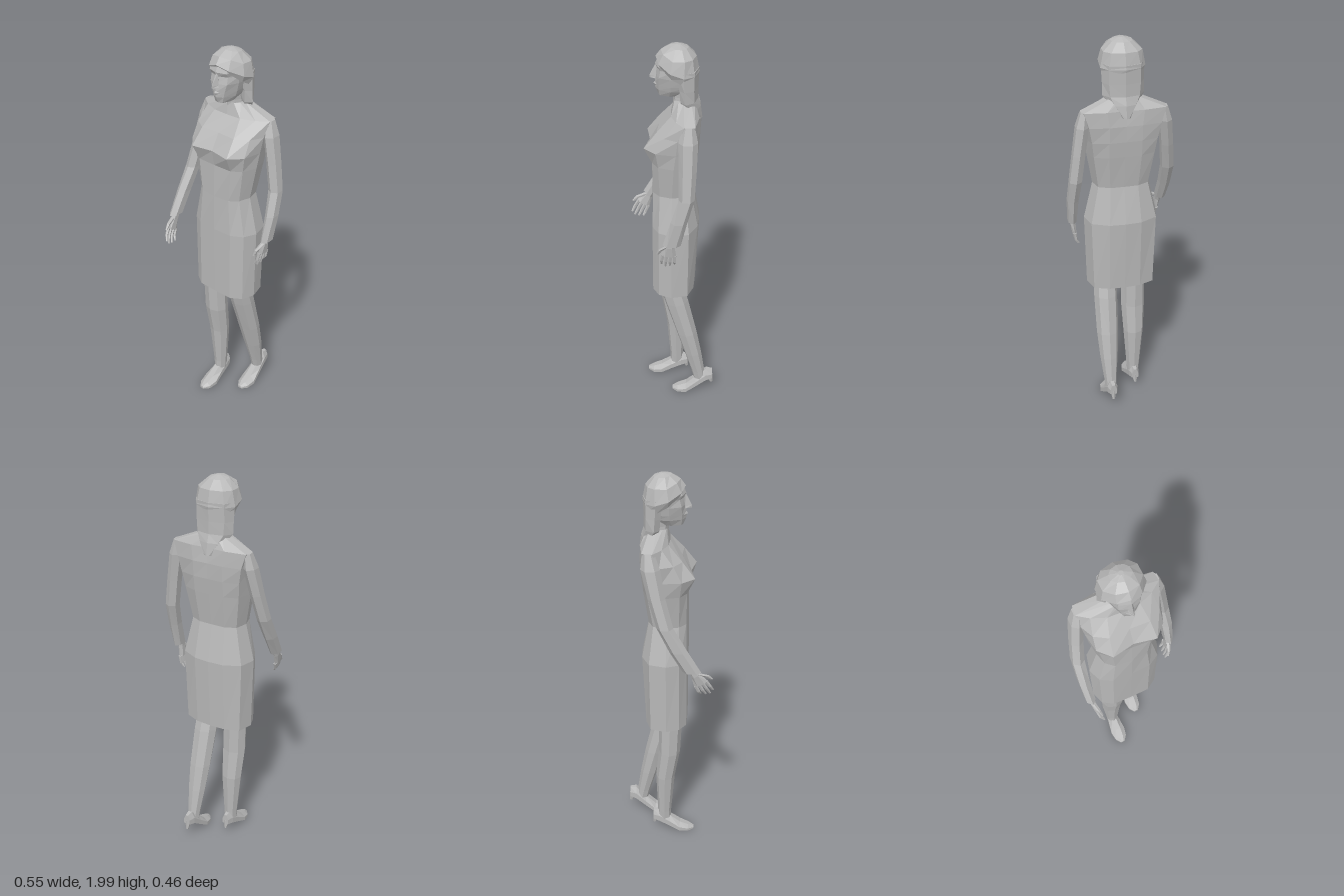
import * as THREE from 'three';

const grey = new THREE.MeshStandardMaterial({ color: 0xb8b8b8, flatShading: true });
grey.name = 'grey';

// Closed skin over a list of rings (each an array of [x, y, z]), faces turned outward
function loft(name, rings) {
  const n = rings[0].length, tris = [];
  const centre = r => [0, 1, 2].map(k => r.reduce((s, p) => s + p[k], 0) / n);
  const first = rings[0], last = rings[rings.length - 1], c0 = centre(first), c1 = centre(last);
  for (let j = 0; j < n; j++) {
    const k = (j + 1) % n;
    for (let i = 0; i < rings.length - 1; i++) {
      const a = rings[i], b = rings[i + 1];
      tris.push([a[j], a[k], b[k]], [a[j], b[k], b[j]]);
    }
    tris.push([c0, first[k], first[j]], [c1, last[j], last[k]]);
  }
  let volume = 0;
  for (const [a, b, c] of tris) {
    volume += a[0] * (b[1] * c[2] - b[2] * c[1]) + a[1] * (b[2] * c[0] - b[0] * c[2])
      + a[2] * (b[0] * c[1] - b[1] * c[0]);
  }
  if (volume < 0) tris.forEach(t => t.reverse());
  const geo = new THREE.BufferGeometry();
  geo.setAttribute('position', new THREE.Float32BufferAttribute(tris.flat(2), 3));
  geo.computeVertexNormals();
  const mesh = new THREE.Mesh(geo, grey);
  mesh.name = name;
  return mesh;
}

// Symmetric ring from a half outline, front centre to back centre
const mirror = half => [...half, ...half.slice(1, -1).reverse().map(([x, y, z]) => [-x, y, z])];
const level = (y, half) => mirror(half.map(([x, z]) => [x, y, z]));

// Level oval ring
function oval(x, y, z, rx, rz, n = 6) {
  return Array.from({ length: n }, (_, i) => {
    const a = (i / n) * Math.PI * 2;
    return [x + Math.sin(a) * rx, y, z + Math.cos(a) * rz];
  });
}

function torso() {
  return loft('dress', [
    level(0.70, [[0, .102], [.10, .1], [.155, .065], [.178, 0], [.155, -.08], [.08, -.108], [0, -.112]]),
    level(1.08, [[0, .105], [.10, .1], [.16, .065], [.187, 0], [.165, -.085], [.08, -.125], [0, -.13]]),
    level(1.27, [[0, .105], [.085, .095], [.125, .06], [.142, 0], [.125, -.065], [.07, -.09], [0, -.092]]),
    level(1.44, [[0, .1], [.10, .098], [.15, .065], [.172, -.01], [.15, -.09], [.08, -.115], [0, -.115]]),
    level(1.52, [[0, .115], [.11, .136], [.168, .075], [.183, -.02], [.16, -.105], [.08, -.125], [0, -.125]]),
    level(1.60, [[0, .07], [.10, .075], [.165, .035], [.195, -.03], [.175, -.115], [.08, -.13], [0, -.128]]),
    level(1.675, [[0, .012], [.08, .008], [.15, -.02], [.205, -.06], [.198, -.11], [.09, -.125], [0, -.12]]),
    level(1.735, [[0, 0], [.03, -.005], [.055, -.025], [.065, -.05], [.055, -.085], [.03, -.1], [0, -.1]]),
  ]);
}

function head() {
  const g = new THREE.Group();
  g.name = 'head';
  g.add(loft('neck', [
    oval(0, 1.66, -.05, .055, .05, 8), oval(0, 1.75, -.04, .045, .045, 8), oval(0, 1.84, -.02, .045, .05, 8),
  ]));
  g.add(loft('face', [
    level(1.755, [[0, .072], [.022, .065], [.036, .02], [.03, -.02], [0, -.03]]),
    level(1.785, [[0, .086], [.032, .068], [.056, .012], [.05, -.05], [0, -.06]]),
    level(1.81, [[0, .088], [.038, .068], [.064, .01], [.06, -.06], [0, -.08]]),
    level(1.85, [[0, .084], [.05, .066], [.073, .01], [.07, -.06], [0, -.09]]),
    level(1.885, [[0, .078], [.05, .058], [.077, .01], [.075, -.06], [0, -.09]]),
    level(1.905, [[0, .086], [.052, .07], [.08, .01], [.075, -.06], [0, -.09]]),
    level(1.945, [[0, .07], [.05, .055], [.075, .005], [.07, -.06], [0, -.085]]),
  ]));
  g.add(loft('nose', [
    level(1.835, [[0, .113], [.017, .084], [0, .07]]),
    level(1.845, [[0, .113], [.014, .082], [0, .07]]),
    level(1.9, [[0, .086], [.006, .078], [0, .07]]),
  ]));
  g.add(loft('lips', [
    level(1.798, [[0, .088], [.018, .078], [0, .06]]),
    level(1.806, [[0, .095], [.022, .076], [0, .06]]),
    level(1.815, [[0, .09], [.014, .078], [0, .06]]),
  ]));
  // Cap with a fringe that slopes down towards the ears
  g.add(loft('hairCap', [
    mirror([[0, 1.93, .075], [.055, 1.905, .06], [.09, 1.86, .005], [.092, 1.83, -.05], [.07, 1.83, -.095], [0, 1.83, -.11]]),
    mirror([[0, 1.94, .084], [.06, 1.92, .066], [.105, 1.89, .01], [.107, 1.87, -.055], [.075, 1.87, -.1], [0, 1.87, -.12]]),
    mirror([[0, 1.972, .06], [.055, 1.965, .045], [.092, 1.945, 0], [.092, 1.945, -.055], [.062, 1.945, -.09], [0, 1.945, -.105]]),
    mirror([[0, 1.995, .02], [.03, 1.992, .01], [.05, 1.988, -.01], [.048, 1.985, -.04], [.03, 1.985, -.06], [0, 1.985, -.068]]),
    mirror([[0, 2, -.01], [.008, 2, -.012], [.012, 2, -.02], [.012, 2, -.025], [.008, 2, -.03], [0, 2, -.032]]),
  ]));
  g.add(loft('hairBack', [
    level(1.89, [[0, -.03], [.085, -.02], [.104, -.05], [.075, -.1], [0, -.118]]),
    level(1.80, [[0, -.06], [.075, -.03], [.1, -.055], [.075, -.098], [0, -.115]]),
    level(1.74, [[0, -.07], [.07, -.035], [.1, -.06], [.07, -.1], [0, -.115]]),
    level(1.70, [[0, -.08], [.05, -.055], [.07, -.085], [.05, -.115], [0, -.128]]),
    level(1.64, [[0, -.11], [.01, -.115], [.02, -.125], [.012, -.132], [0, -.136]]),
  ]));
  return g;
}

// Hand hanging down from the wrist; s = 1 left, -1 right
function hand(s) {
  const g = new THREE.Group();
  g.name = s > 0 ? 'leftHand' : 'rightHand';
  g.add(loft('palm', [
    oval(0, .02, 0, .016, .02), oval(0, -.02, 0, .015, .024), oval(-s * .006, -.075, 0, .012, .038),
  ]));
  for (let i = 0; i < 4; i++) {
    const z = .029 - i * .0193, tip = [-.138, -.148, -.143, -.13][i];
    g.add(loft('finger', [
      oval(-s * .006, -.07, z, .01, .0095, 5),
      oval(-s * .012, -.11, z * 1.1, .008, .008, 5),
      oval(-s * .026, tip, z * 1.1, .005, .005, 5),
    ]));
  }
  g.add(loft('thumb', [
    oval(0, -.015, .012, .011, .012, 5), oval(-s * .012, -.05, .045, .009, .011, 5), oval(-s * .02, -.08, .056, .005, .006, 5),
  ]));
  return g;
}

// Path of [x, y, z, rx, rz]
const limb = (name, path, n) => loft(name, path.map(p => oval(...p, n)));

// Shoe: sections of [z, bottom, top, half width], plus a slim heel
function shoe(name, x, z, lift, heelTip) {
  const g = new THREE.Group();
  g.name = name;
  const sections = [
    [.15, .008, .022, .012], [.12, .006, .036, .034], [.075, .012, .056, .042],
    [.02, .038 + lift * .4, .095 + lift * .4, .034],
    [-.035, .062 + lift, .13 + lift, .028], [-.07, .07 + lift, .125 + lift, .018],
  ];
  g.add(loft('upper', sections.map(([dz, b, t, w]) => [
    [x - w, b, z + dz], [x - w, b + (t - b) * .5, z + dz], [x - w * .4, t, z + dz],
    [x + w * .4, t, z + dz], [x + w, b + (t - b) * .5, z + dz], [x + w, b, z + dz],
  ])));
  g.add(loft('heel', [
    oval(x, heelTip, z - .066, .007, .008), oval(x, .09 + lift, z - .05, .02, .023),
  ]));
  return g;
}

export function createModel() {
  const model = new THREE.Group();
  model.name = 'walkingWoman';
  model.add(torso(), head());

  // Sleeves: left hangs down, right swings forward
  model.add(limb('leftSleeve', [
    [.19, 1.675, -.08, .022, .028], [.202, 1.6, -.078, .035, .046], [.222, 1.46, -.078, .034, .042],
    [.24, 1.32, -.075, .034, .038], [.25, 1.2, -.04, .03, .04], [.25, 1.07, -.005, .023, .044],
  ]));
  model.add(limb('rightSleeve', [
    [-.19, 1.675, -.08, .022, .028], [-.202, 1.6, -.07, .035, .046], [-.222, 1.46, -.04, .034, .042],
    [-.24, 1.32, 0, .034, .04], [-.245, 1.2, .065, .03, .045], [-.243, 1.09, .13, .026, .045],
  ]));
  const left = hand(1), right = hand(-1);
  left.position.set(.245, 1.075, .002);
  left.rotation.x = -.1;
  right.position.set(-.238, 1.085, .14);
  right.rotation.x = -.5;
  model.add(left, right);

  // Legs: right leads, left trails
  model.add(limb('rightLeg', [
    [-.075, .76, .02, .062, .06], [-.073, .52, .012, .064, .056], [-.072, .36, -.01, .055, .05],
    [-.07, .13, -.015, .036, .036], [-.07, .08, -.015, .032, .036],
  ], 8));
  model.add(limb('leftLeg', [
    [.08, .76, .02, .06, .06], [.083, .62, -.02, .062, .062], [.086, .42, -.075, .058, .054],
    [.087, .28, -.11, .048, .046], [.087, .15, -.14, .034, .036], [.087, .1, -.15, .03, .034],
  ], 8));
  model.add(shoe('rightShoe', -.07, -.005, 0, .04), shoe('leftShoe', .087, -.15, .03, .065));
  return model;
}
